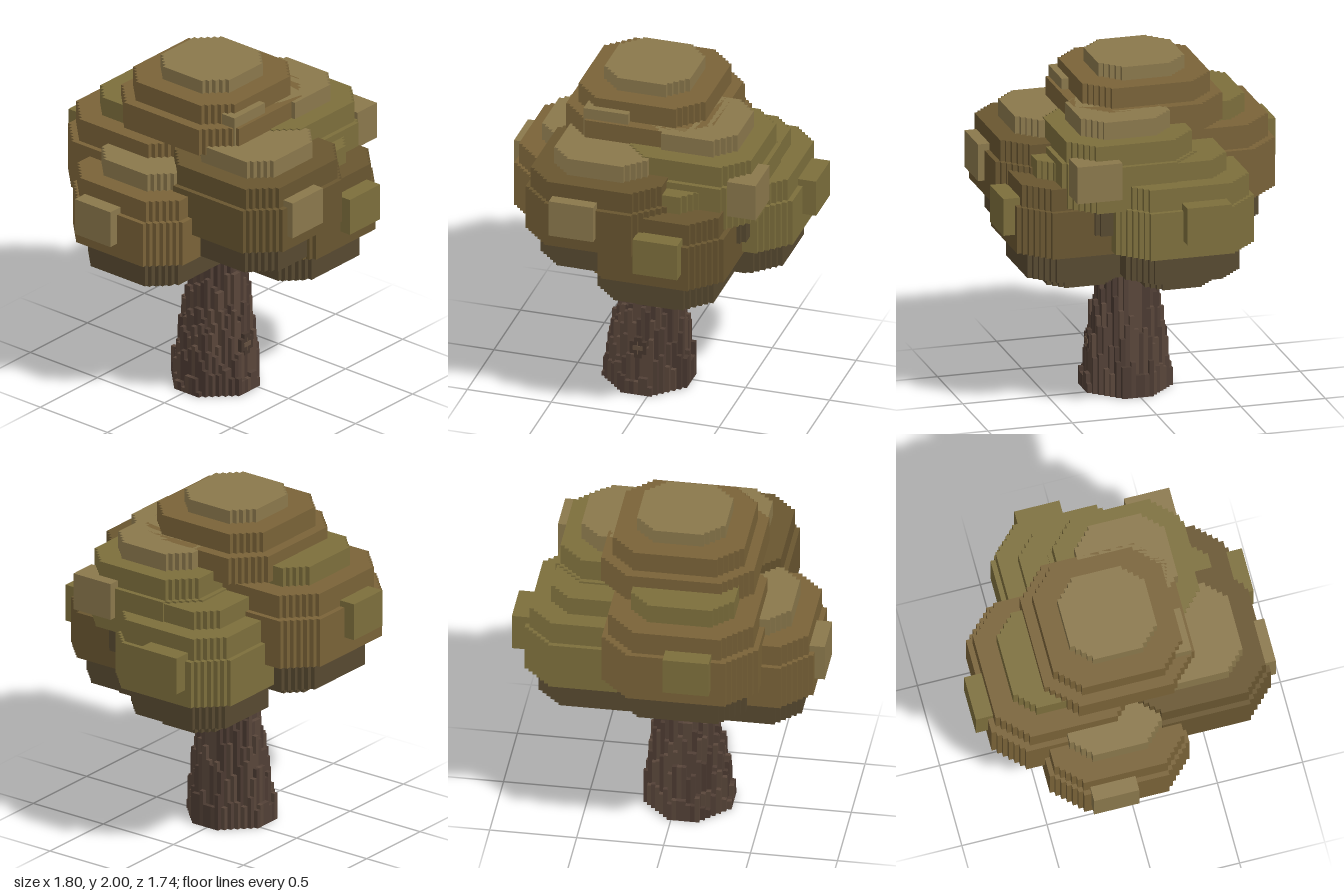
import * as THREE from 'three';
import { mergeGeometries } from 'three/addons/utils/BufferGeometryUtils.js';

const V = 0.0267; // voxel size
const DARK = 0x574930, BROWN = 0x695630, TAN = 0x7a6338, OLIVE = 0x7d6f3c, LIGHT = 0x8b784c;
const mats = {};
const mat = (c) => (mats[c] ??= new THREE.MeshStandardMaterial({ color: c, flatShading: true }));

function addMesh(parent, name, geometry, color) {
  const m = new THREE.Mesh(geometry, mat(color));
  m.name = name;
  parent.add(m);
  return m;
}

// Slab with an octagonal outline whose corners are cut in voxel stairs
function slab(hx, hz, height) {
  const n = Math.max(1, Math.round(0.37 * Math.min(hx, hz) / V));
  const corner = [];
  for (let i = 0; i <= n; i++) {
    corner.push([hx - i * V, hz - (n - i) * V]);
    if (i < n) corner.push([hx - (i + 1) * V, hz - (n - i) * V]);
  }
  const flip = (sx, sy) => corner.map(([x, y]) => new THREE.Vector2(x * sx, y * sy));
  const pts = [
    ...flip(1, 1), ...flip(-1, 1).reverse(),
    ...flip(-1, -1), ...flip(1, -1).reverse(),
  ];
  const g = new THREE.ExtrudeGeometry(new THREE.Shape(pts), { depth: height, bevelEnabled: false });
  return g.rotateX(-Math.PI / 2);
}

// Stacked slabs: levels and widths are fractions of the clump's height and radius
function addClump(parent, name, x, z, y0, height, radius, levels, widths, colors) {
  const clump = new THREE.Group();
  clump.name = name;
  clump.position.set(x, y0, z);
  widths.forEach((w, i) => {
    const thick = (levels[i + 1] - levels[i]) * height;
    addMesh(clump, name + 'Layer' + (i + 1), slab(w * radius, w * radius, thick), colors[i])
      .position.y = levels[i] * height;
  });
  parent.add(clump);
}

function hash(a, b) {
  const s = Math.sin(a * 127.1 + b * 311.7) * 43758.5453;
  return s - Math.floor(s);
}

// Tapered trunk of voxel columns, shorter toward the outside
function buildTrunk() {
  const trunk = new THREE.Group();
  trunk.name = 'trunk';
  const shades = [0x524036, 0x4b3a31, 0x59463a];
  const sets = shades.map(() => []);
  const centre = (y) => -0.07 + 0.046 * y;
  const radius = (y) => 0.255 - 0.144 * Math.min(0.8, y);
  for (let i = -10; i <= 10; i++) {
    for (let k = -10; k <= 10; k++) {
      const x = -0.07 + i * V, z = 0.015 + k * V;
      // Highest level at which the column still lies in the trunk
      let h = 0;
      for (let y = 0; y <= 1; y += V) {
        const dx = Math.abs(x - centre(y)), dz = Math.abs(z - 0.015);
        if (Math.max(dx, dz, (dx + dz) * 0.74) <= radius(y)) h = y + V;
      }
      if (h === 0) continue;
      if (h < 0.85) h = Math.max(V, h + Math.round((hash(i, k) - 0.5) * 5) * V);
      const box = new THREE.BoxGeometry(V, h, V).translate(x, h / 2, z);
      sets[Math.floor(hash(k + 5, i) * 3)].push(box);
    }
  }
  sets.forEach((s, n) => addMesh(trunk, 'bark' + (n + 1), mergeGeometries(s), shades[n]));
  // Knot in the bark
  const knotPart = (name, hx, hy, z, color) =>
    addMesh(trunk, name, slab(hx, hy, V).rotateX(Math.PI / 2), color).position.set(-0.065, 0.29, z);
  knotPart('knotRing', 0.05, 0.065, 0.22, 0x47372e);
  knotPart('knot', 0.028, 0.04, 0.225, 0x64503f);
  return trunk;
}

function buildCrown() {
  const crown = new THREE.Group();
  crown.name = 'crown';

  // Ring of leaf clumps: name, x, z, base y, height, radius, body and top colours
  const levels = [0, 0.11, 0.33, 0.69, 0.86, 1];
  const widths = [0.48, 0.82, 1, 0.93, 0.66];
  const ring = [
    ['backClump', -0.115, -0.35, 0.92, 0.81, 0.45, TAN, OLIVE],
    ['rightClump', -0.43, -0.12, 0.78, 0.75, 0.41, TAN, LIGHT],
    ['frontRightClump', -0.18, 0.41, 0.95, 0.74, 0.42, BROWN, LIGHT],
    ['frontLowClump', 0.15, 0.38, 0.76, 0.77, 0.42, BROWN, OLIVE],
    ['frontLeftClump', 0.29, 0.17, 1.06, 0.74, 0.4, OLIVE, LIGHT],
    ['leftClump', 0.41, -0.12, 0.78, 0.78, 0.41, OLIVE, OLIVE],
  ];
  for (const [name, x, z, y0, height, radius, body, top] of ring) {
    addClump(crown, name, x, z, y0, height, radius, levels, widths, [DARK, DARK, body, body, top]);
  }

  // Top clump and the dark filling behind the ring
  addClump(crown, 'crownTop', -0.05, -0.03, 1.5, 0.5, 0.44,
    [0, 0.28, 0.6, 0.84, 1], [0.8, 1, 0.86, 0.58], [BROWN, TAN, TAN, LIGHT]);
  addClump(crown, 'crownCore', -0.03, 0, 0.88, 0.72, 0.26, [0, 1], [1], [DARK]);

  // Raised leaf blocks: centre, axis they point along, colour
  const tufts = [
    [-0.265, 1.39, 0.785, 'z', LIGHT],
    [0.235, 1.225, 0.785, 'z', OLIVE],
    [-0.185, 1.405, -0.785, 'z', OLIVE],
    [-0.21, 1.755, 0.305, 'z', LIGHT],
    [0.645, 1.5, 0.405, 'x', LIGHT],
    [0.815, 1.25, -0.195, 'x', OLIVE],
    [-0.815, 1.225, -0.195, 'x', LIGHT],
  ];
  tufts.forEach(([x, y, z, axis, color], i) => {
    const box = new THREE.BoxGeometry(0.265, 0.22, 0.17);
    if (axis === 'x') box.rotateY(Math.PI / 2);
    addMesh(crown, 'leafTuft' + (i + 1), box, color).position.set(x, y, z);
  });
  return crown;
}

export function createModel() {
  const tree = new THREE.Group();
  tree.name = 'tree';
  tree.add(buildTrunk(), buildCrown());
  return tree;
}
